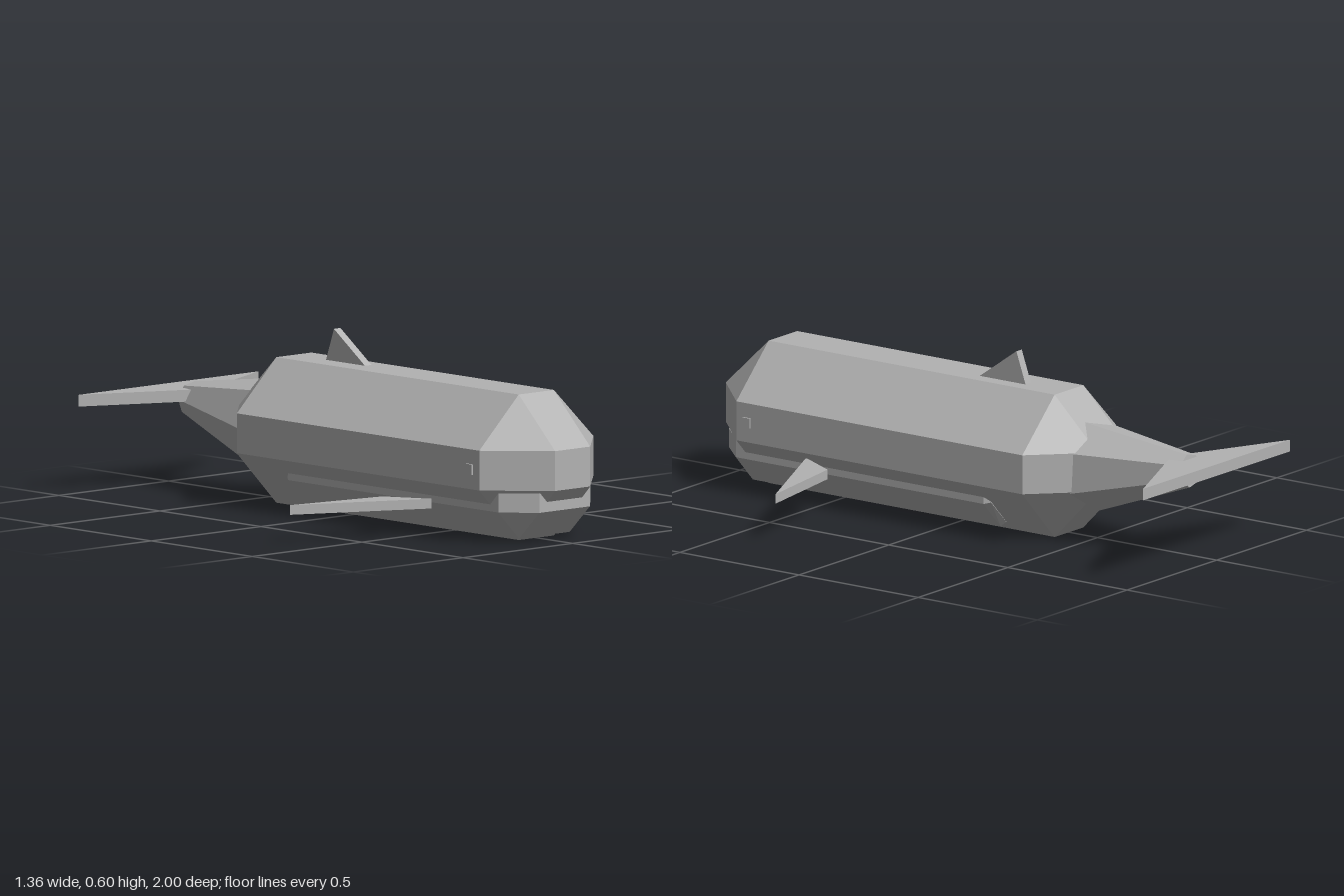
import * as THREE from 'three';
import { ConvexGeometry } from 'three/addons/geometries/ConvexGeometry.js';

const V = (x, y, z) => new THREE.Vector3(x, y, z);

export function createModel() {
  const model = new THREE.Group();
  const skin = new THREE.MeshStandardMaterial({ color: 0xb2b2b2, flatShading: true });
  skin.name = 'grey skin';

  const add = (name, geometry) => {
    const mesh = new THREE.Mesh(geometry, skin);
    mesh.name = name;
    model.add(mesh);
    return mesh;
  };

  // Corner points of a box that is symmetric in x
  const corners = (x, y0, y1, z0, z1) =>
    [-x, x].flatMap(a => [y0, y1].flatMap(b => [z0, z1].map(c => V(a, b, c))));

  // Flat plate: outline of [x, z] pairs, with thickness from y0 to y1
  const plate = (outline, y0, y1) => new ConvexGeometry(
    outline.flatMap(([x, z]) => [V(x, y0, z), V(x, y1, z)]));

  // Body: a long box with wide chamfers on every edge
  add('body', new ConvexGeometry([
    ...corners(0.08, 0.185, 0.32, -0.56, 1),
    ...corners(0.26, 0.185, 0.32, -0.38, 0.82),
    ...corners(0.08, 0, 0.493, -0.38, 0.82),
  ]));

  // Lower jaw: flat on top, chamfered at the front and below
  add('lowerJaw', new ConvexGeometry([
    ...corners(0.115, 0.11, 0.175, -0.18, 0.96),
    ...corners(0.21, 0.11, 0.175, -0.18, 0.86),
    ...corners(0.115, 0.013, 0.175, -0.18, 0.86),
    ...corners(0.195, 0.115, 0.16, -0.2, 0),
    ...corners(0.11, 0.03, 0.16, -0.2, 0),
  ]));

  // Tail stem: seven-sided cone, tilted slightly upwards
  const start = V(0, 0.248, -0.478), end = V(0, 0.294, -0.89);
  const stem = add('tailStem', new THREE.CylinderGeometry(0.058, 0.161, start.distanceTo(end), 7)
    .rotateY(-Math.PI / 2)
    .rotateX(-Math.PI / 2 + Math.atan2(end.y - start.y, start.z - end.z)));
  stem.position.copy(start).lerp(end, 0.5);

  // Tail fluke
  add('tailFluke', plate([[-0.41, -1], [0.41, -1], [0, -0.812]], 0.292, 0.332));

  // Dorsal fin, set a little to the left
  add('dorsalFin', new ConvexGeometry([0, 0.03].flatMap(x =>
    [V(x, 0.48, -0.01), V(x, 0.602, -0.182), V(x, 0.48, -0.225)])));

  // Side fins and eyes
  for (const [side, s, y] of [['left', 1, 0.127], ['right', -1, 0.093]]) {
    add(side + 'Fin', plate([[s * 0.23, 0.55], [s * 0.312, 0.398], [s * 0.68, 0.34]], y, y + 0.033));
    const eye = add(side + 'Eye', new THREE.BoxGeometry(0.01, 0.035, 0.03));
    eye.position.set(s * 0.262, 0.253, 0.775);
  }
  return model;
}
